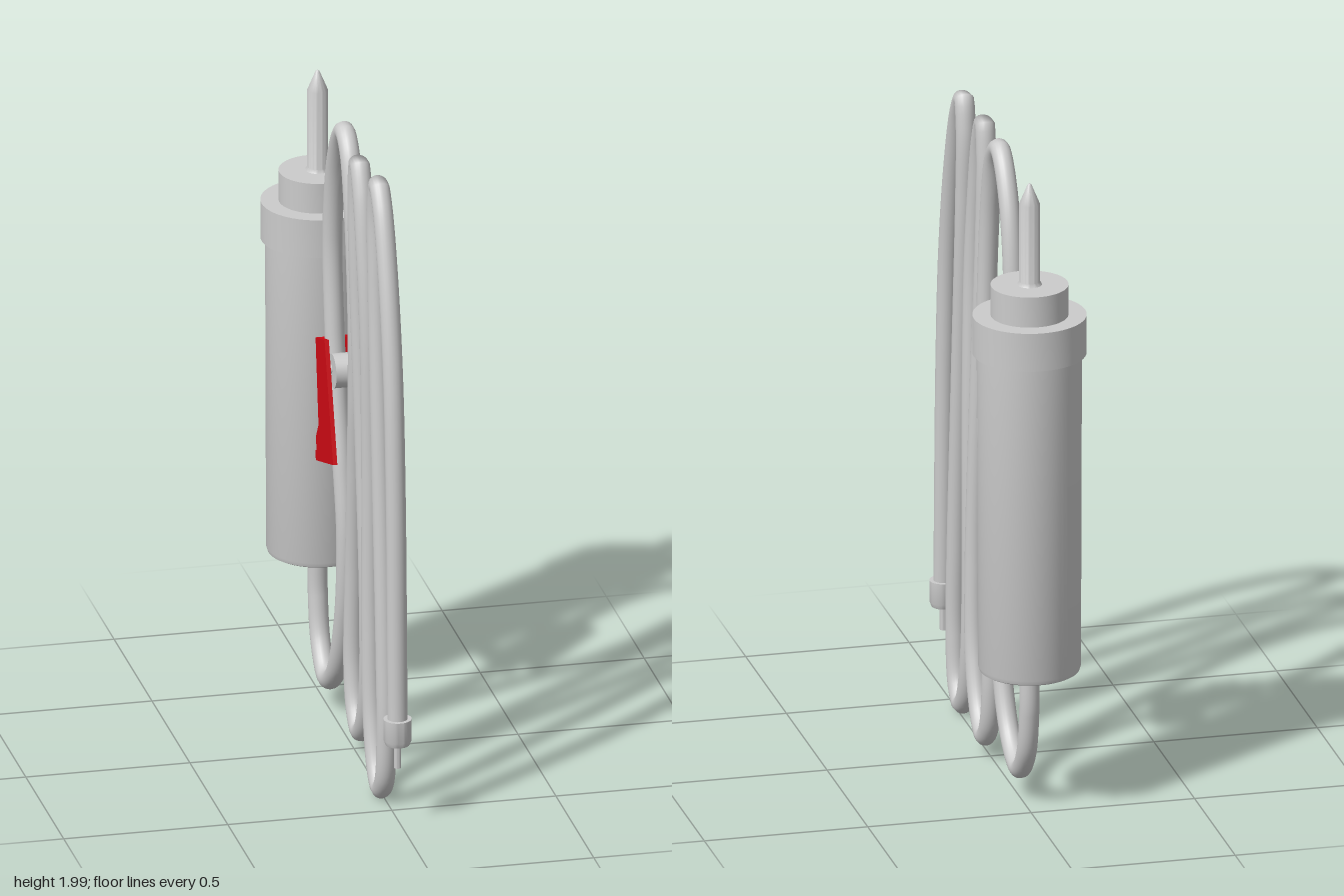
import * as THREE from 'three';
import { toCreasedNormals } from 'three/addons/utils/BufferGeometryUtils.js';

const grey = new THREE.MeshStandardMaterial({ color: 0xcccccc });
const red = new THREE.MeshStandardMaterial({ color: 0xd00a14, side: THREE.DoubleSide });

function add(parent, name, geometry, material = grey) {
  const mesh = new THREE.Mesh(geometry, material);
  mesh.name = name;
  parent.add(mesh);
  return mesh;
}

// Turned part from [radius, y] pairs listed from bottom to top
function turned(parent, name, profile, z, x = 0, segments = 64) {
  const points = profile.map(([r, y]) => new THREE.Vector2(r, y));
  const geometry = toCreasedNormals(new THREE.LatheGeometry(points, segments), 0.6);
  const mesh = add(parent, name, geometry);
  mesh.position.set(x, 0, z);
  return mesh;
}

// Side outline of [z, y] points, extruded across x from x0 to x1
function sideExtrude(parent, name, outline, x0, x1, material) {
  const shape = new THREE.Shape(outline.map(([z, y]) => new THREE.Vector2(-z, y)));
  const geometry = new THREE.ExtrudeGeometry(shape, { depth: x1 - x0, bevelEnabled: false });
  geometry.rotateY(Math.PI / 2).translate(x0, 0, 0);
  return add(parent, name, geometry, material);
}

export function createModel() {
  const model = new THREE.Group();
  model.name = 'dripSet';

  // Drip chamber with collar, neck and spike
  const chamber = new THREE.Group();
  chamber.name = 'dripChamber';
  model.add(chamber);
  const axisZ = -0.48;
  turned(chamber, 'outletNozzle', [[0, 0.44], [0.043, 0.44], [0.043, 0.47]], axisZ, 0, 32);
  turned(chamber, 'chamberBody',
    [[0, 0.46], [0.14, 0.46], [0.149, 0.465], [0.153, 0.478], [0.156, 1.47], [0, 1.47]], axisZ);
  turned(chamber, 'chamberCollar',
    [[0, 1.465], [0.17, 1.465], [0.17, 1.585], [0, 1.585]], axisZ);
  turned(chamber, 'chamberNeck', [[0, 1.58], [0.116, 1.58], [0.116, 1.68], [0, 1.68]], axisZ);
  turned(chamber, 'spike',
    [[0.037, 1.68], [0.031, 1.69], [0.031, 1.935], [0.006, 1.995], [0, 2]], axisZ, 0, 32);

  // Looped tube, from the chamber outlet to the end connector
  const path = [
    [0, 0.46, -0.478], [0, 0.32, -0.476], [0, 0.18, -0.44], [0, 0.103, -0.355],
    [0, 0.17, -0.235], [0.005, 0.38, -0.15], [0.005, 0.64, -0.124], [0, 0.85, -0.148],
    [-0.005, 1.05, -0.188], [-0.008, 1.27, -0.222], [-0.01, 1.56, -0.241], [-0.01, 1.8, -0.198],
    [-0.01, 1.93, -0.125], [-0.01, 1.962, -0.075], [-0.01, 1.92, -0.015], [-0.01, 1.75, 0.042],
    [-0.005, 1.4, 0.069], [0, 1.16, 0.049], [0.008, 0.9, 0], [0.015, 0.55, -0.055],
    [0.015, 0.25, -0.073], [0.015, 0.12, -0.04], [0.015, 0.076, 0.012], [0.012, 0.12, 0.085],
    [0.01, 0.27, 0.15], [0.005, 0.55, 0.175], [-0.005, 1.08, 0.16], [-0.018, 1.6, 0.142],
    [-0.022, 1.87, 0.141], [-0.022, 1.961, 0.163], [-0.022, 1.88, 0.208], [-0.02, 1.68, 0.25],
    [-0.015, 1.45, 0.27], [-0.008, 1, 0.264], [-0.008, 0.5, 0.263], [-0.008, 0.22, 0.285],
    [-0.008, 0.08, 0.335], [-0.008, 0.041, 0.388], [-0.008, 0.09, 0.44], [-0.008, 0.24, 0.463],
    [-0.008, 0.5, 0.45], [-0.008, 1.1, 0.395], [-0.008, 1.65, 0.344], [-0.008, 1.88, 0.336],
    [-0.008, 1.965, 0.36], [-0.008, 1.91, 0.41], [-0.008, 1.72, 0.483], [-0.008, 1.42, 0.55],
    [-0.008, 1.05, 0.585], [-0.008, 0.34, 0.61],
  ];
  const curve = new THREE.CatmullRomCurve3(path.map((p) => new THREE.Vector3(...p)));
  curve.arcLengthDivisions = 1000;
  add(model, 'tube', new THREE.TubeGeometry(curve, 600, 0.03, 20));

  // End connector with its pin
  turned(model, 'endConnector',
    [[0, 0.27], [0.036, 0.27], [0.042, 0.285], [0.042, 0.352], [0, 0.352]], 0.61, -0.008, 32);
  turned(model, 'connectorPin', [[0, 0.195], [0.011, 0.195], [0.011, 0.28]], 0.61, -0.008, 20);

  // Roller clamp: two side plates joined by a back wall, with a wheel between
  const clamp = new THREE.Group();
  clamp.name = 'rollerClamp';
  model.add(clamp);
  const plate = [
    [-0.032, 0.914], [-0.26, 0.84], [-0.266, 0.87], [-0.25, 0.877],
    [-0.26, 0.915], [-0.225, 0.967], [-0.264, 1.232], [-0.145, 1.27],
  ];
  const back = plate.slice(1, 7);
  const wall = [...back, ...back.map(([z, y]) => [z + 0.014, y]).reverse()];
  const [x0, x1, t] = [-0.056, 0.048, 0.013];
  sideExtrude(clamp, 'rightPlate', plate, x0, x0 + t, red);
  sideExtrude(clamp, 'leftPlate', plate, x1 - t, x1, red);
  sideExtrude(clamp, 'backWall', wall, x0 + t, x1 - t, red);

  const wheelGeometry = toCreasedNormals(new THREE.CylinderGeometry(0.052, 0.052, 0.056, 32), 0.6);
  const wheel = add(clamp, 'rollerWheel', wheelGeometry);
  wheel.rotation.z = Math.PI / 2;
  wheel.position.set(-0.004, 1.17, -0.143);
  const axleGeometry = new THREE.CylinderGeometry(0.014, 0.014, 0.08, 16);
  const axle = add(clamp, 'rollerAxle', axleGeometry);
  axle.rotation.z = Math.PI / 2;
  axle.position.set(-0.004, 1.17, -0.16);

  return model;
}
